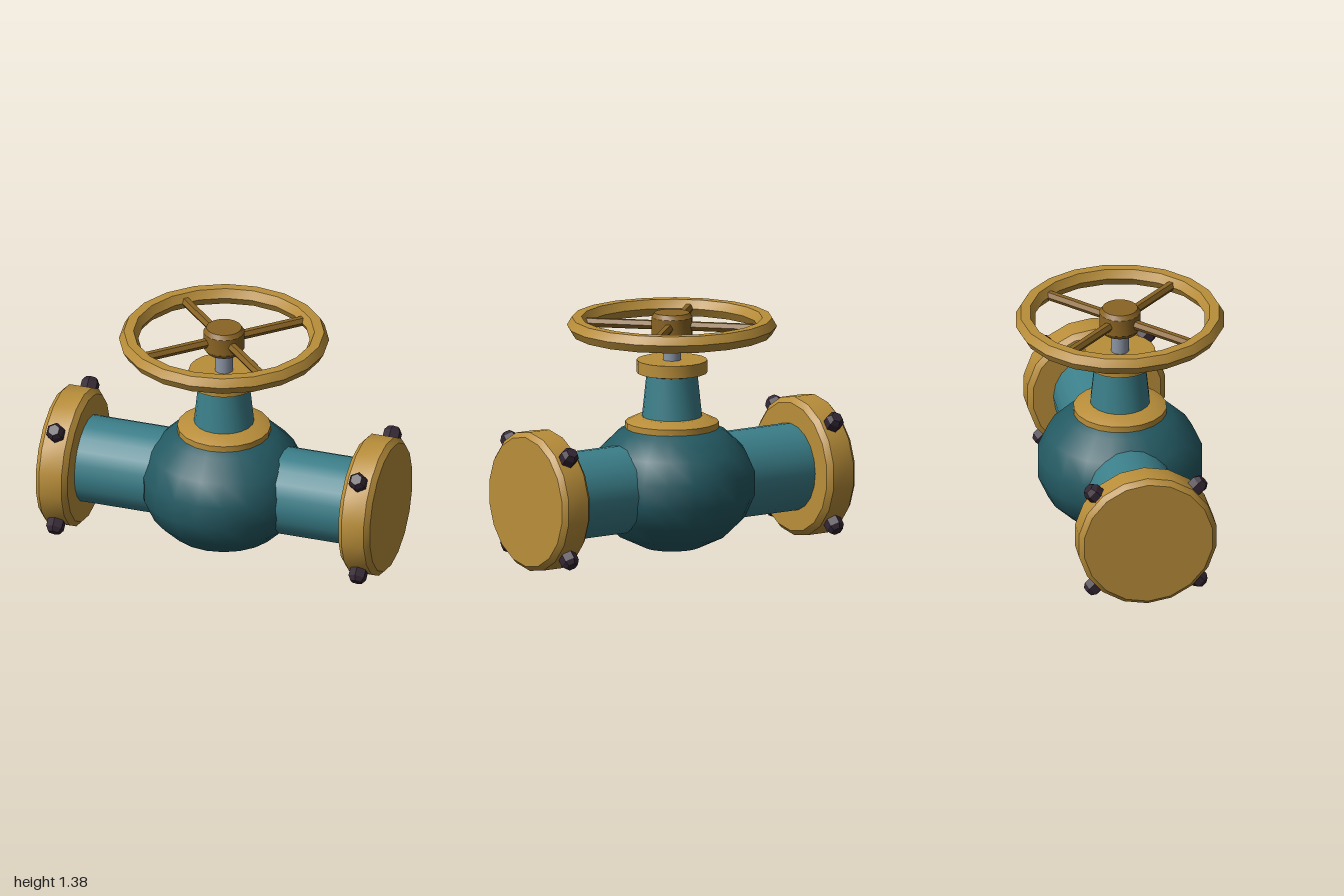
import * as THREE from 'three';
import { toCreasedNormals } from 'three/addons/utils/BufferGeometryUtils.js';

function material(name, color) {
  const m = new THREE.MeshStandardMaterial({ color });
  m.name = name;
  return m;
}

// Turned part around y from [radius, height] pairs listed bottom to top
function turned(profile, sides, crease = 0.45) {
  const points = profile.map(([r, y]) => new THREE.Vector2(r, y));
  return toCreasedNormals(new THREE.LatheGeometry(points, sides), crease);
}

export function createModel() {
  const gold = material('gold', 0xb98e3a);
  const darkGold = material('dark gold', 0x8a6424);
  const teal = material('teal', 0x3b7f8a);
  const darkTeal = material('dark teal', 0x245a63);
  const steel = material('steel', 0x8b95a5);
  const boltDark = material('bolt dark', 0x33263300 >> 8);

  const model = new THREE.Group();
  model.name = 'gateValve';
  const add = (name, geometry, mat, parent = model) => {
    const mesh = new THREE.Mesh(geometry, mat);
    mesh.name = name;
    parent.add(mesh);
    return mesh;
  };

  // Bulbous body
  const body = add('body', new THREE.SphereGeometry(1, 20, 9), darkTeal);
  body.scale.set(0.477, 0.39, 0.477);
  body.position.y = 0.4;

  // Pipe, end flange and four radial bolts on each side
  const pipeGeo = new THREE.CylinderGeometry(0.25, 0.25, 0.72, 20, 1, true)
    .rotateZ(-Math.PI / 2);
  const flangeGeo = turned([
    [0, 0.81], [0.37, 0.81], [0.4, 0.838], [0.4, 0.972], [0.372, 1], [0, 1],
  ], 18).rotateY(Math.PI / 2).rotateZ(-Math.PI / 2);
  const boltGeo = turned([
    [0, 0.37], [0.053, 0.37], [0.053, 0.44], [0.034, 0.467], [0, 0.467],
  ], 6);
  for (const [side, sx] of [['left', 1], ['right', -1]]) {
    const end = new THREE.Group();
    end.name = side + 'PipeEnd';
    end.position.y = 0.4;
    end.rotation.y = sx > 0 ? 0 : Math.PI;
    model.add(end);
    add(side + 'Pipe', pipeGeo, teal, end).position.x = 0.46;
    add(side + 'Flange', flangeGeo, gold, end);
    for (let i = 0; i < 4; i++) {
      const bolt = add(side + 'Bolt' + (i + 1), boltGeo, boltDark, end);
      bolt.position.x = 0.905;
      bolt.rotation.x = Math.PI / 4 + i * Math.PI / 2;
    }
  }

  // Collar, tapered bonnet with flared lip, gland and stem
  add('collar', turned([
    [0, 0.72], [0.265, 0.72], [0.265, 0.755], [0.2, 0.786], [0, 0.786],
  ], 20), gold);
  add('bonnet', turned([
    [0.172, 0.77], [0.145, 1.025], [0.195, 1.04], [0, 1.04],
  ], 20), teal);
  add('gland', turned([
    [0, 1.038], [0.2, 1.038], [0.2, 1.11], [0, 1.11],
  ], 20), gold);
  add('stem', new THREE.CylinderGeometry(0.052, 0.052, 0.2, 16), steel)
    .position.y = 1.18;

  // Handwheel: six-sided rim, hub and four diagonal spokes
  const wheel = new THREE.Group();
  wheel.name = 'handwheel';
  wheel.position.y = 1.307;
  model.add(wheel);
  add('rim', toCreasedNormals(
    new THREE.TorusGeometry(0.54, 0.055, 6, 20).rotateX(Math.PI / 2), 0.6), gold, wheel);
  add('hub', turned([
    [0, -0.075], [0.1, -0.075], [0.117, -0.05], [0.117, 0.05], [0.1, 0.075], [0, 0.075],
  ], 18), darkGold, wheel);
  const spokeGeo = toCreasedNormals(
    new THREE.CylinderGeometry(0.028, 0.028, 0.43, 6)
      .rotateZ(Math.PI / 2).translate(0.295, 0, 0), 0.45);
  for (let i = 0; i < 4; i++) {
    add('spoke' + (i + 1), spokeGeo, darkGold, wheel)
      .rotation.y = Math.PI / 4 + i * Math.PI / 2;
  }

  return model;
}
